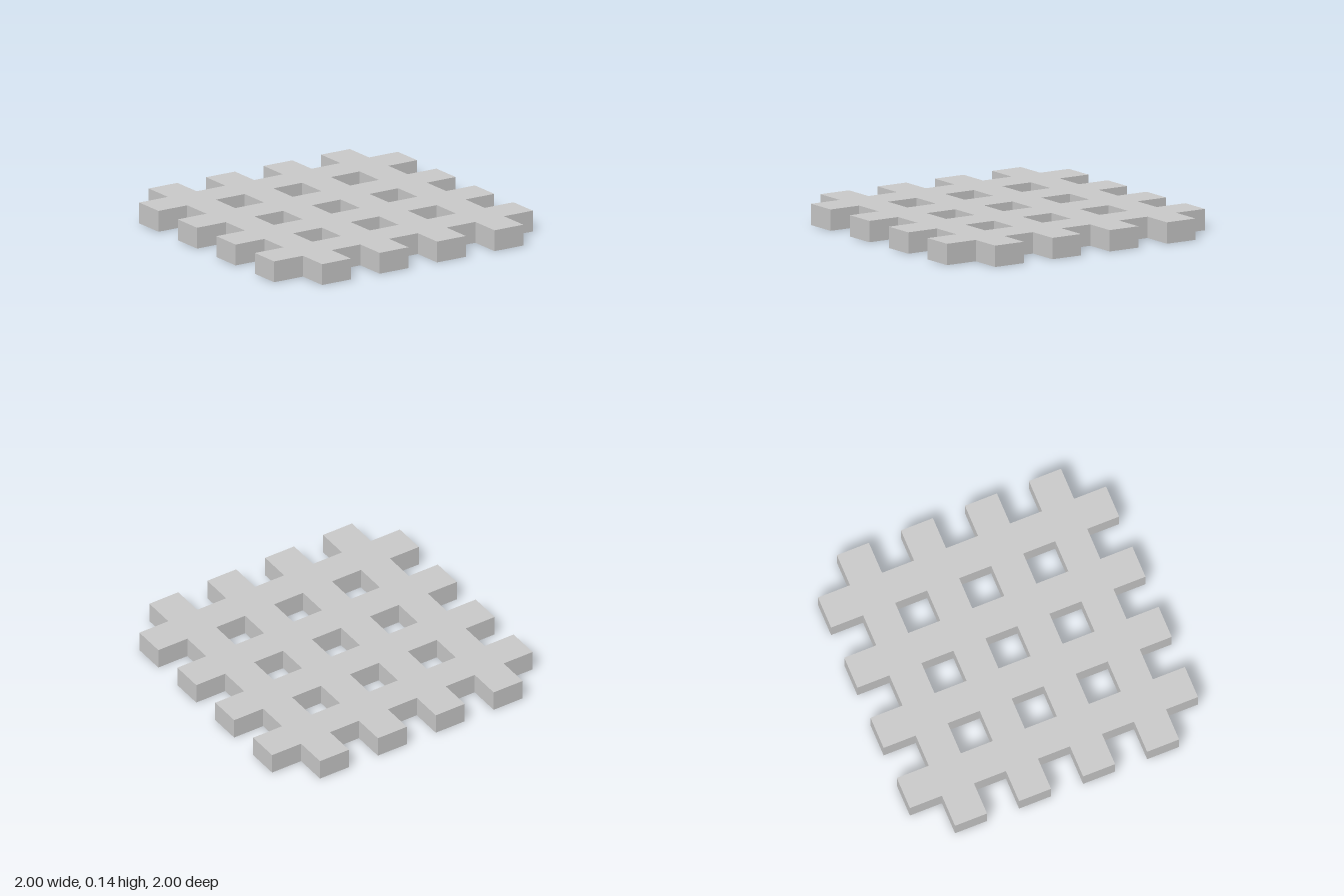
import * as THREE from 'three';

const BAR = 2 / 9;      // bar width, equal to the gap between bars
const BARS = 4;         // bars in each direction
const HEIGHT = 0.14;
const EDGE = 1 - BAR;   // outer side of the outermost bars

export function createModel() {
  const group = new THREE.Group();
  group.name = 'lattice';

  // Toothed outline: one side of bar ends, turned four times
  const outline = [];
  for (let side = 0; side < 4; side++) {
    const points = [];
    for (let i = 0; i < BARS; i++) {
      const x = -EDGE + i * 2 * BAR;
      points.push([x, -EDGE], [x, -1], [x + BAR, -1], [x + BAR, -EDGE]);
    }
    points.pop(); // shared with the next side
    for (const [x, y] of points) {
      outline.push(new THREE.Vector2(x, y).rotateAround(new THREE.Vector2(), side * Math.PI / 2));
    }
  }
  const shape = new THREE.Shape(outline);

  // Square openings between the crossing bars
  const start = -EDGE + BAR;
  for (let i = 0; i < BARS - 1; i++) {
    for (let j = 0; j < BARS - 1; j++) {
      const x = start + i * 2 * BAR;
      const y = start + j * 2 * BAR;
      shape.holes.push(new THREE.Path([
        new THREE.Vector2(x, y),
        new THREE.Vector2(x, y + BAR),
        new THREE.Vector2(x + BAR, y + BAR),
        new THREE.Vector2(x + BAR, y),
      ]));
    }
  }

  // Lay the grid flat on the ground
  const geometry = new THREE.ExtrudeGeometry(shape, { depth: HEIGHT, bevelEnabled: false });
  geometry.rotateX(-Math.PI / 2);
  const grid = new THREE.Mesh(geometry, new THREE.MeshStandardMaterial({ color: 0xcccccc }));
  grid.name = 'crossedBars';
  group.add(grid);
  return group;
}
